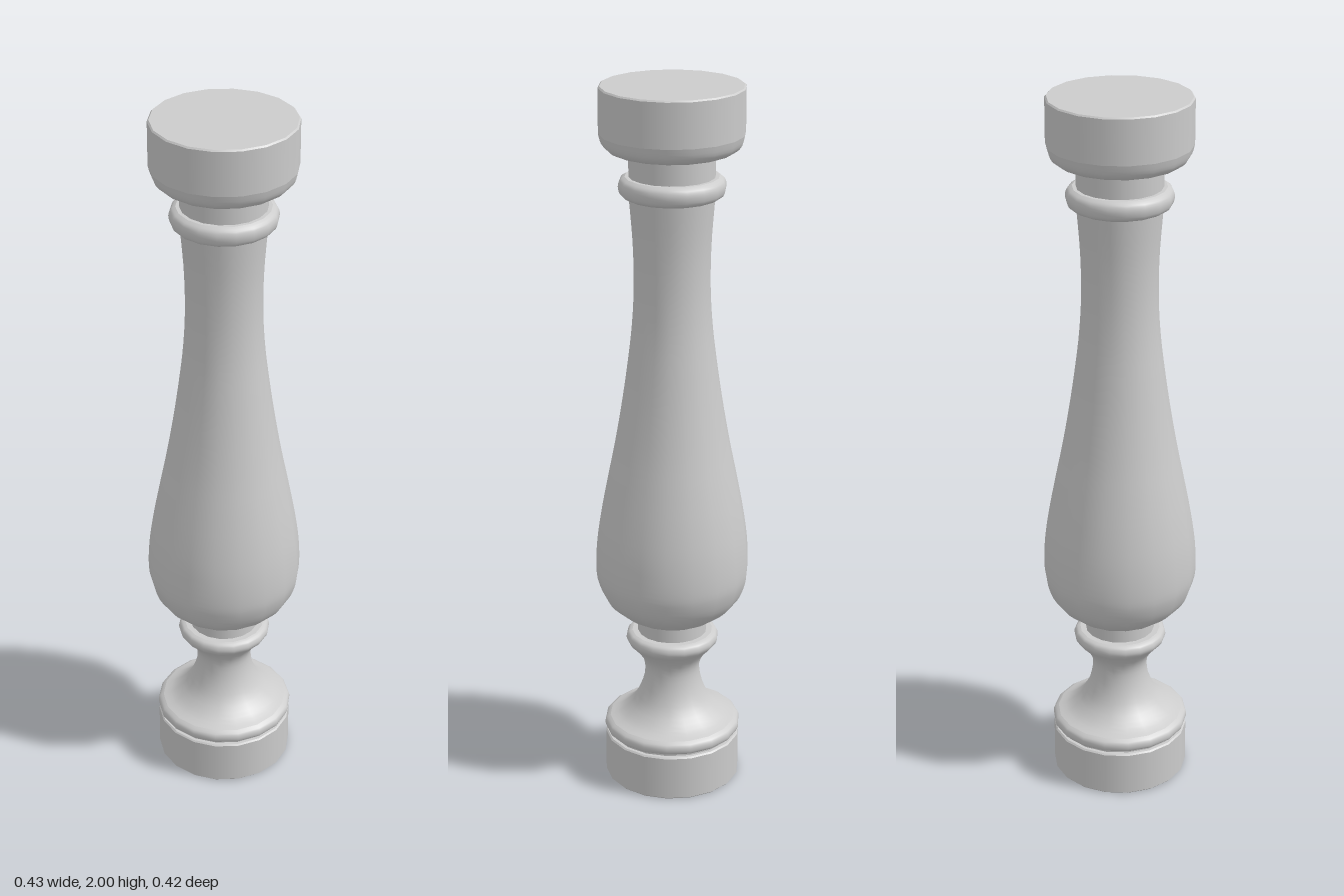
import * as THREE from 'three';

const SIDES = 18;
const material = new THREE.MeshStandardMaterial({ color: 0xcccccc, side: THREE.DoubleSide });

const points = (list) => list.map(([r, y]) => new THREE.Vector2(r, y));

// Smooth curve through a few [radius, height] points
const curve = (list, steps) => new THREE.SplineCurve(points(list)).getPoints(steps);

// Turned part from bottom to top; sections meet at a sharp edge,
// since each one repeats the end point of the one before
function turn(name, ...sections) {
  const geometry = new THREE.LatheGeometry(sections.flat(), SIDES, Math.PI / 2);
  const mesh = new THREE.Mesh(geometry, material);
  mesh.name = name;
  return mesh;
}

export function createModel() {
  const group = new THREE.Group();
  group.name = 'baluster';

  // Plinth with a closed underside and slightly eased edges
  group.add(turn('plinth',
    points([[0, 0], [0.187, 0]]),
    points([[0.187, 0], [0.191, 0.004]]),
    points([[0.191, 0.004], [0.191, 0.128]]),
    points([[0.191, 0.128], [0.187, 0.132]]),
    points([[0.187, 0.132], [0.178, 0.132]]),
    points([[0.178, 0.132], [0.178, 0.14]])));

  // Rounded moulding above the plinth groove
  group.add(turn('baseRing',
    curve([[0.178, 0.14], [0.189, 0.143], [0.193, 0.155], [0.19, 0.168], [0.178, 0.177]], 10)));

  // Concave foot rising to a flared collar
  group.add(turn('foot',
    curve([[0.178, 0.177], [0.145, 0.192], [0.109, 0.227], [0.086, 0.275], [0.077, 0.325],
      [0.084, 0.36], [0.105, 0.39], [0.124, 0.41], [0.13, 0.425], [0.125, 0.44], [0.113, 0.446]], 30),
    points([[0.113, 0.446], [0.097, 0.446]])));

  // Short neck below the vase
  group.add(turn('lowerNeck', points([[0.097, 0.446], [0.097, 0.485]])));

  // Vase-shaped shaft
  group.add(turn('shaft',
    curve([[0.097, 0.485], [0.142, 0.51], [0.185, 0.55], [0.207, 0.6], [0.213, 0.65], [0.209, 0.73],
      [0.196, 0.82], [0.177, 0.92], [0.157, 1.02], [0.138, 1.13], [0.122, 1.24], [0.109, 1.35],
      [0.103, 1.46], [0.105, 1.58], [0.115, 1.71]], 48)));

  // Half-round ring under the capital
  group.add(turn('collarRing',
    points([[0.115, 1.706], [0.125, 1.706]]),
    curve([[0.125, 1.706], [0.138, 1.715], [0.143, 1.735], [0.138, 1.752], [0.125, 1.761]], 12),
    points([[0.125, 1.761], [0.115, 1.761]])));

  group.add(turn('upperNeck', points([[0.115, 1.761], [0.115, 1.825]])));

  // Capital with a rounded underside and a flat top
  group.add(turn('capital',
    points([[0.115, 1.825], [0.145, 1.825]]),
    curve([[0.145, 1.825], [0.168, 1.832], [0.185, 1.849], [0.193, 1.876]], 10),
    points([[0.193, 1.876], [0.193, 1.996]]),
    points([[0.193, 1.996], [0.189, 2]]),
    points([[0.189, 2], [0, 2]])));

  return group;
}
